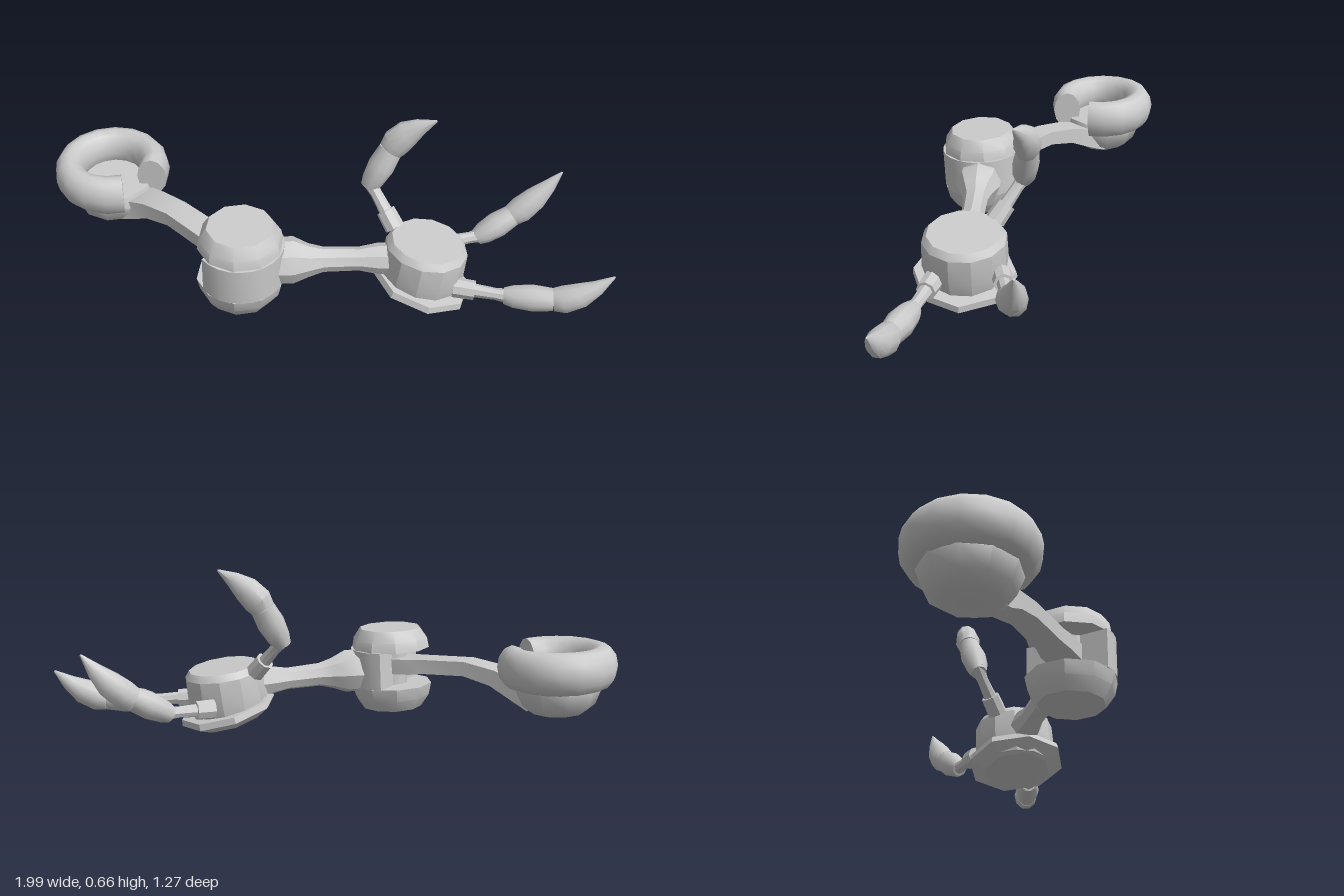
import * as THREE from 'three';
import { toCreasedNormals } from 'three/addons/utils/BufferGeometryUtils.js';

const material = new THREE.MeshStandardMaterial({ color: 0xcccccc });

function part(name, geometry, crease = 0.75) {
  const mesh = new THREE.Mesh(toCreasedNormals(geometry, crease), material);
  mesh.name = name;
  return mesh;
}

// Capped skin over elliptical sections, each [x, y, z, halfWidth, halfHeight]
function loft(sections, sides = 10, up = [0, 1, 0], turn = 0) {
  const centres = sections.map((s) => new THREE.Vector3(s[0], s[1], s[2]));
  const last = sections.length - 1;
  const pos = [];
  const index = [];
  sections.forEach(([, , , w, h = w], i) => {
    const t = centres[Math.min(i + 1, last)].clone().sub(centres[Math.max(i - 1, 0)]).normalize();
    const s = new THREE.Vector3(...up).cross(t).normalize();
    const u = t.clone().cross(s);
    for (let k = 0; k < sides; k++) {
      const a = turn + (k / sides) * Math.PI * 2;
      const p = centres[i].clone().addScaledVector(s, Math.cos(a) * w).addScaledVector(u, Math.sin(a) * h);
      pos.push(p.x, p.y, p.z);
    }
  });
  const start = pos.length / 3;
  pos.push(...centres[0].toArray(), ...centres[last].toArray());
  for (let k = 0; k < sides; k++) {
    const n = (k + 1) % sides;
    for (let i = 0; i < last; i++) {
      const a = i * sides + k, b = i * sides + n;
      index.push(a, b, b + sides, a, b + sides, a + sides);
    }
    index.push(start, n, k, start + 1, last * sides + k, last * sides + n);
  }
  const g = new THREE.BufferGeometry();
  g.setAttribute('position', new THREE.Float32BufferAttribute(pos, 3));
  g.setIndex(index);
  return g;
}

function lathe(profile, sides) {
  return new THREE.LatheGeometry(profile.map(([r, y]) => new THREE.Vector2(r, y)), sides);
}

// Finger: socket, thin link, padded middle joint and curved claw
function finger(name, root, knuckle, joint, tip, up) {
  const g = new THREE.Group();
  g.name = name;
  const [r, k, j, t] = [root, knuckle, joint, tip].map((p) => new THREE.Vector3(...p));
  const at = (a, b, f, w, h = w) => [...a.clone().lerp(b, f).toArray(), w, h];
  g.add(part('fingerSocket', loft([at(r, k, -0.15, 0.038), at(r, k, 0.3, 0.036)], 8, up)));
  g.add(part('fingerLink', loft([at(r, k, 0.2, 0.026), at(r, k, 0.75, 0.022), at(r, k, 1.12, 0.03)], 8, up)));
  g.add(part('fingerJoint', loft([
    at(k, j, -0.1, 0.03, 0.032), at(k, j, 0.12, 0.043, 0.043),
    at(k, j, 0.55, 0.049, 0.052), at(k, j, 1, 0.04, 0.046),
  ], 10, up)));
  // Claw bends from the joint direction towards its point
  const bend = j.clone().addScaledVector(j.clone().sub(k).normalize(), j.distanceTo(t) * 0.38);
  const curve = new THREE.QuadraticBezierCurve3(j, bend, t);
  const claw = [[0, 0.04, 0.047], [0.2, 0.049, 0.055], [0.5, 0.042, 0.05], [0.75, 0.025, 0.031], [1, 0.003, 0.004]];
  g.add(part('claw', loft(claw.map(([f, w, h]) => [...curve.getPoint(f).toArray(), w, h]), 10, up)));
  return g;
}

export function createModel() {
  const model = new THREE.Group();

  // Open shoulder ring over a rounded cup
  const shoulder = new THREE.Group();
  shoulder.name = 'shoulder';
  shoulder.position.set(-0.78, 0.305, 0.41);
  shoulder.rotation.z = -0.05;
  const ring = [];
  for (let i = 0; i <= 14; i++) {
    const a = 0.46 + (i / 14) * (Math.PI * 2 - 0.92);
    ring.push([Math.cos(a) * 0.163, 0, Math.sin(a) * 0.163, 0.058, 0.08]);
  }
  shoulder.add(part('shoulderRing', loft(ring, 12)));
  shoulder.add(part('shoulderCup', lathe(
    [[0, -0.18], [0.1, -0.175], [0.14, -0.145], [0.165, -0.08], [0.15, -0.035], [0, -0.035]], 10)));
  model.add(shoulder);

  // Flat bowed upper arm
  model.add(part('upperArm', loft([
    [-0.72, 0.175, 0.4, 0.12, 0.055], [-0.64, 0.205, 0.4, 0.09, 0.055], [-0.55, 0.237, 0.4, 0.075, 0.045],
    [-0.43, 0.256, 0.4, 0.068, 0.04], [-0.25, 0.242, 0.4, 0.072, 0.04], [-0.2, 0.235, 0.4, 0.085, 0.042],
    [-0.02, 0.22, 0.4, 0.085, 0.045],
  ], 4, [0, 1, 0], Math.PI / 4), 0.5));

  // Barrel elbow with a slot that takes the upper arm
  const elbow = new THREE.Group();
  elbow.name = 'elbow';
  elbow.position.set(-0.09, 0.22, 0.4);
  elbow.rotation.z = -0.05;
  elbow.add(part('elbowUpperJaw', lathe(
    [[0, 0.075], [0.157, 0.075], [0.15, 0.115], [0.122, 0.157], [0, 0.157]], 10), 0.6));
  elbow.add(part('elbowLowerJaw', lathe(
    [[0, -0.167], [0.12, -0.167], [0.152, -0.12], [0.163, -0.07], [0, -0.07]], 10), 0.6));
  const wall = new THREE.Shape();
  wall.absarc(0, 0, 0.16, -1.8, 1.8, false);
  wall.closePath();
  const wallGeometry = new THREE.ExtrudeGeometry(wall, { depth: 0.15, bevelEnabled: false, curveSegments: 7 });
  wallGeometry.rotateX(-Math.PI / 2).translate(0, -0.073, 0);
  elbow.add(part('elbowBack', wallGeometry));
  elbow.add(part('elbowPin', new THREE.CylinderGeometry(0.065, 0.065, 0.16, 10)));
  model.add(elbow);

  // Forearm with flared collar and wrist
  model.add(part('forearm', loft([
    [-0.01, 0.205, 0.32, 0.085], [0.045, 0.205, 0.265, 0.087], [0.085, 0.2, 0.225, 0.062],
    [0.12, 0.198, 0.185, 0.047], [0.21, 0.19, 0.09, 0.044], [0.26, 0.187, 0.04, 0.058], [0.34, 0.18, -0.04, 0.062],
  ], 8), 0.5));

  // Tilted palm drum on a bevelled plate
  const tilted = (mesh, x, y, z, slope) => {
    mesh.position.set(x, y, z);
    mesh.quaternion.setFromUnitVectors(
      new THREE.Vector3(0, 1, 0), new THREE.Vector3(slope, 1, -slope).normalize());
    return mesh;
  };
  model.add(tilted(part('palm', lathe(
    [[0, -0.11], [0.14, -0.11], [0.157, -0.04], [0.153, 0.06], [0.135, 0.085], [0, 0.085]], 12), 0.5),
  0.38, 0.172, -0.085, 0.1));
  model.add(tilted(part('palmPlate', lathe(
    [[0, 0], [0.13, 0], [0.19, 0.035], [0.185, 0.06], [0, 0.065]], 8), 0.4),
  0.37, 0.04, -0.07, 0.2));

  // Two fingers and a raised thumb
  model.add(finger('frontFinger', [0.54, 0.11, -0.1], [0.69, 0.098, -0.19], [0.83, 0.105, -0.275], [0.99, 0.222, -0.4], [0, 1, 0]));
  model.add(finger('rearFinger', [0.345, 0.125, -0.25], [0.43, 0.13, -0.38], [0.5, 0.2, -0.49], [0.612, 0.38, -0.632], [0, 1, 0]));
  model.add(finger('thumb', [0.225, 0.265, -0.085], [0.112, 0.385, -0.095], [0.15, 0.52, -0.16], [0.288, 0.66, -0.245], [-0.9, 0.2, 0.4]));

  return model;
}
